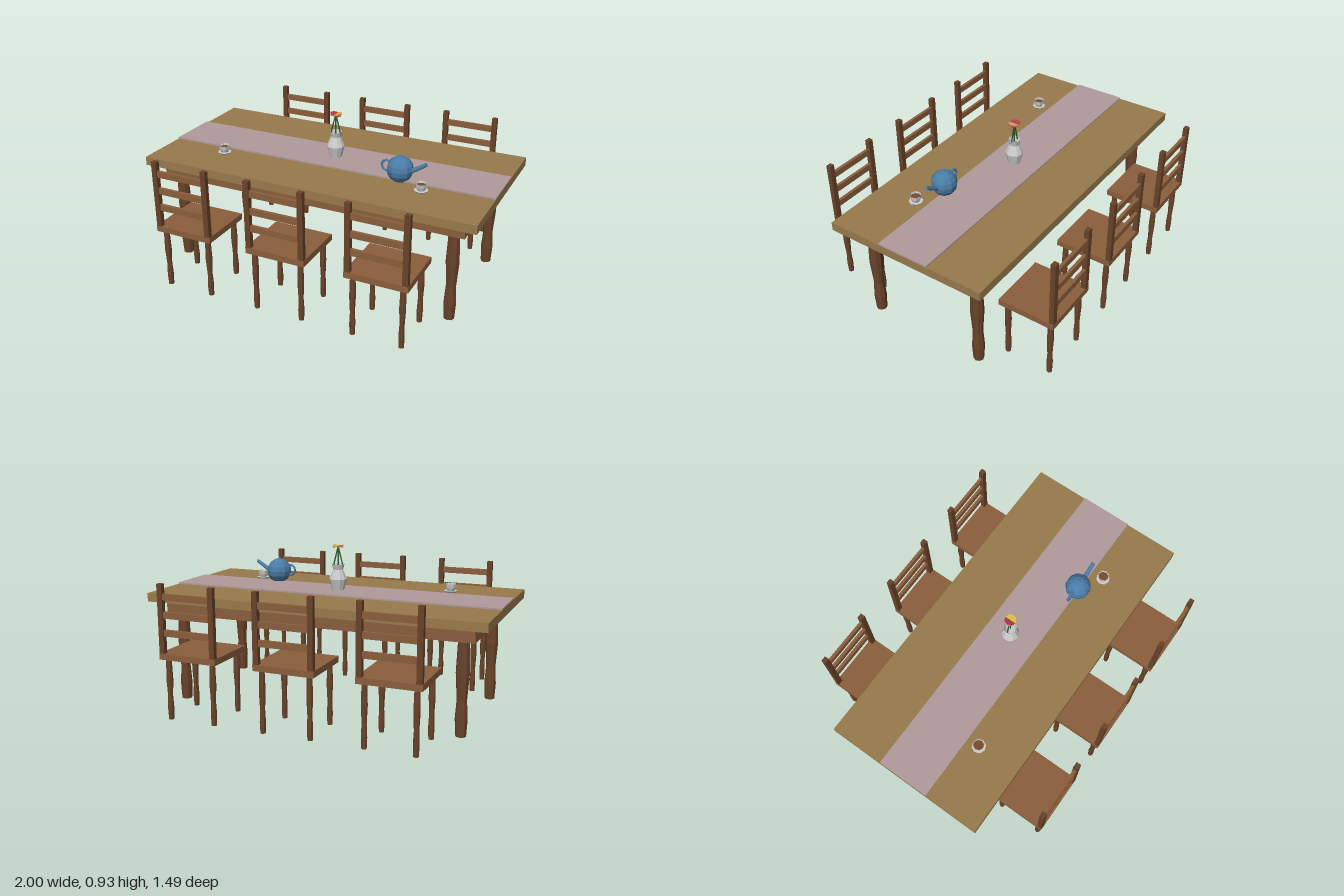
import * as THREE from 'three';

const mat = (color, flatShading = false, side = THREE.FrontSide) =>
  new THREE.MeshStandardMaterial({ color, flatShading, side });

const tableWood = mat(0x987a4c);
const chairWood = mat(0x8b5e3c);
const darkWood = mat(0x694329, true);
const cloth = mat(0xb09a9c);
const blue = mat(0x4a7ca6, true);
const china = mat(0xcccccc, true, THREE.DoubleSide);
const green = mat(0x2f5a2c, true);

function add(parent, name, geometry, material, x = 0, y = 0, z = 0) {
  const mesh = new THREE.Mesh(geometry, material);
  mesh.name = name;
  mesh.position.set(x, y, z);
  parent.add(mesh);
  return mesh;
}

function group(parent, name, x = 0, y = 0, z = 0) {
  const g = new THREE.Group();
  g.name = name;
  g.position.set(x, y, z);
  parent.add(g);
  return g;
}

const box = (w, h, d) => new THREE.BoxGeometry(w, h, d);
const lathe = (profile, sides) =>
  new THREE.LatheGeometry(profile.map(([r, y]) => new THREE.Vector2(r, y)), sides);

// Cylinder running between two points
function rod(parent, name, a, b, r0, r1, sides, material) {
  const from = new THREE.Vector3(...a), to = new THREE.Vector3(...b);
  const dir = to.clone().sub(from);
  const mesh = add(parent, name, new THREE.CylinderGeometry(r1, r0, dir.length(), sides), material);
  mesh.position.copy(from).addScaledVector(dir, 0.5);
  mesh.quaternion.setFromUnitVectors(new THREE.Vector3(0, 1, 0), dir.normalize());
  return mesh;
}

// Turned leg, bulging twice between foot and top
function legGeometry(height, r) {
  return lathe([[0, 0], [0.85, 0], [1, 0.18], [0.8, 0.38], [1.08, 0.66], [0.88, 1], [0, 1]]
    .map(([k, t]) => [k * r, t * height]), 8);
}

function buildTable(root) {
  const table = group(root, 'table');
  add(table, 'tableTop', box(2, 0.05, 0.96), tableWood, 0, 0.63, 0);
  add(table, 'apron', box(1.84, 0.08, 0.81), chairWood, 0, 0.565, 0);
  add(table, 'tableRunner', box(2, 0.009, 0.31), cloth, 0, 0.6595, 0);
  const leg = legGeometry(0.526, 0.035);
  for (const x of [-0.847, 0.847])
    for (const z of [-0.345, 0.345]) add(table, 'tableLeg', leg, darkWood, x, 0, z);
}

// Chair whose back stands on the +z side
function buildChair(root, x, turn) {
  const chair = group(root, 'chair', x, 0, 0);
  chair.rotation.y = turn;
  add(chair, 'seat', box(0.35, 0.035, 0.333), chairWood, 0, 0.3675, 0.5775);
  const leg = legGeometry(0.351, 0.0175);
  for (const s of [-1, 1]) {
    add(chair, 'chairBackPost', box(0.031, 0.387, 0.028), darkWood, s * 0.157, 0.5785, 0.73);
    for (const z of [0.447, 0.709]) add(chair, 'chairLeg', leg, darkWood, s * 0.138, 0, z);
  }
  for (const y of [0.5, 0.6, 0.7])
    add(chair, 'backSlat', box(0.285, 0.036, 0.018), chairWood, 0, y, 0.73);
}

function buildVase(root) {
  const vase = group(root, 'flowerVase', 0, 0.664, 0);
  add(vase, 'vaseBody', lathe([[0, 0], [0.035, 0], [0.052, 0.066], [0.029, 0.122], [0.037, 0.152]], 10), china);
  // Leaning stems meet at the top, each with a flat bloom
  [[-1, 0xd8b93c], [0, 0xc76a8a], [1, 0xb23a4c]].forEach(([s, color]) => {
    const lean = new THREE.Vector3(-s * 0.26, 1, 0).normalize();
    rod(vase, 'flowerStem', [s * 0.031, 0.138, 0], [0, 0.257, 0], 0.004, 0.004, 5, green);
    const bloom = add(vase, 'flowerBloom', new THREE.CylinderGeometry(0.034, 0.034, 0.002, 8),
      mat(color, true), 0, 0.257, 0);
    // The bloom on the left stem faces left, so the crossing discs both show from above
    bloom.quaternion.setFromUnitVectors(new THREE.Vector3(0, 1, 0), lean.setX(s * Math.abs(lean.x)));
  });
}

function buildTeapot(root) {
  const pot = group(root, 'teapot', 0.46, 0.727, 0.15);
  add(pot, 'teapotBody', new THREE.SphereGeometry(0.075, 10, 8), blue);
  add(pot, 'lidKnob', new THREE.SphereGeometry(0.013, 8, 6), blue, 0, 0.067, 0);
  rod(pot, 'spout', [0.06, -0.005, 0], [0.15, 0.052, 0], 0.014, 0.011, 8, blue);
  add(pot, 'teapotHandle', new THREE.TorusGeometry(0.031, 0.007, 6, 12), blue, -0.077, 0.008, 0);
}

function buildCup(root, x) {
  const cup = group(root, 'teacup', x, 0.655, 0.228);
  add(cup, 'saucer', new THREE.CylinderGeometry(0.04, 0.032, 0.01, 8), china, 0, 0.005, 0);
  add(cup, 'cup', lathe([[0.021, 0.009], [0.028, 0.026], [0.032, 0.05]], 8), china);
  add(cup, 'tea', new THREE.CylinderGeometry(0.028, 0.027, 0.003, 8), mat(0x7a4a2a), 0, 0.038, 0);
}

export function createModel() {
  const root = new THREE.Group();
  root.name = 'diningSet';
  buildTable(root);
  for (const x of [-0.577, 0, 0.577])
    for (const turn of [0, Math.PI]) buildChair(root, x, turn);
  buildVase(root);
  buildTeapot(root);
  for (const x of [-0.617, 0.613]) buildCup(root, x);
  return root;
}
